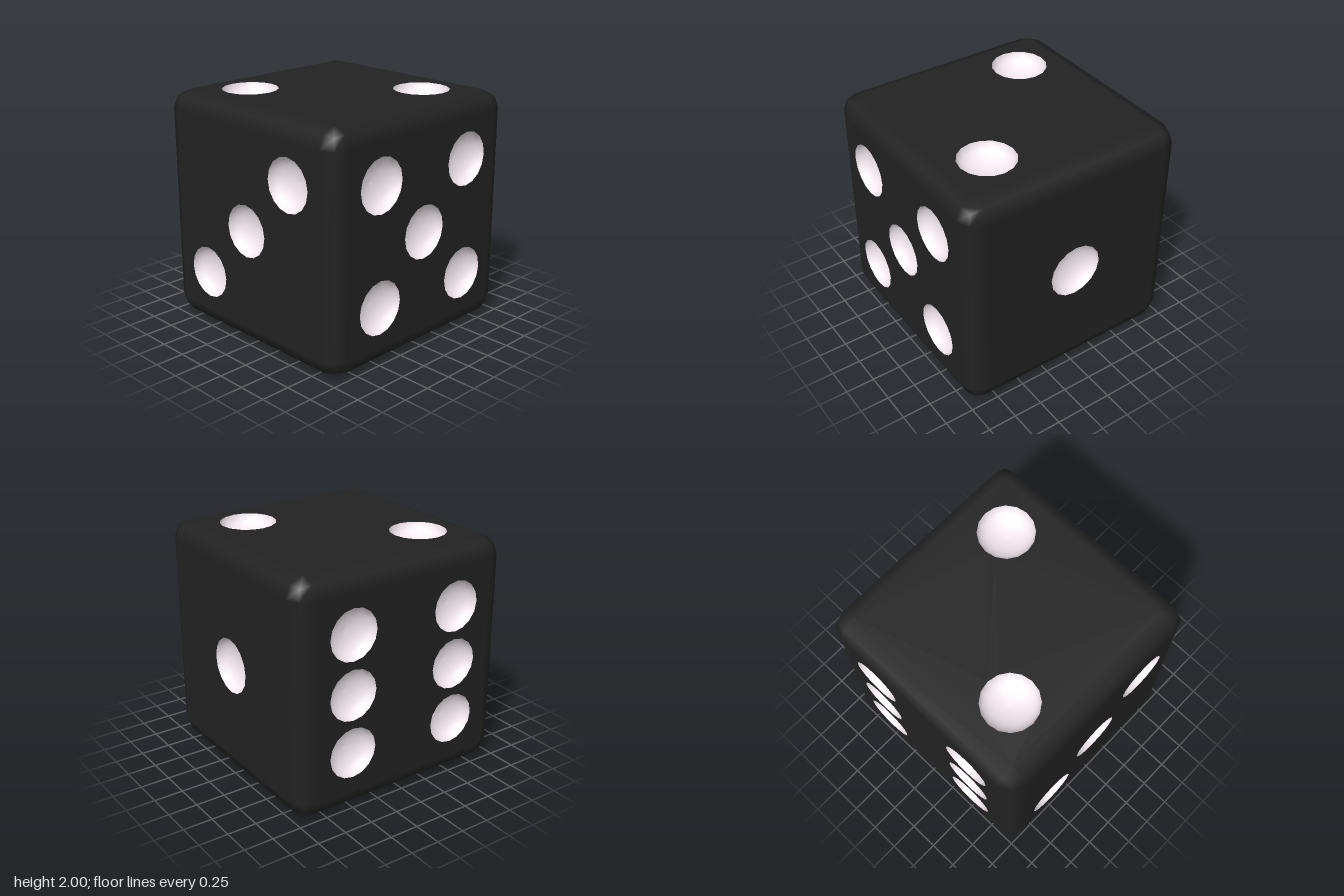
import * as THREE from 'three';
import { RoundedBoxGeometry } from 'three/addons/geometries/RoundedBoxGeometry.js';

const BEVEL = 0.16;
const SIDES = 16;

// Rounded edges and corners only: the flat middle of each side is left out
function roundedFrame() {
  const box = new RoundedBoxGeometry(2, 2, 2, 1, BEVEL);
  const src = box.index ? box.toNonIndexed() : box;
  const p = src.attributes.position, n = src.attributes.normal;
  const pos = [], nor = [];
  const a = new THREE.Vector3(), b = new THREE.Vector3(), c = new THREE.Vector3();
  for (let i = 0; i < p.count; i += 3) {
    [a, b, c].forEach((v, k) => v.fromBufferAttribute(n, i + k));
    if (a.dot(b) > 0.999 && a.dot(c) > 0.999) continue;
    for (let k = i; k < i + 3; k++) {
      pos.push(p.getX(k), p.getY(k), p.getZ(k));
      nor.push(n.getX(k), n.getY(k), n.getZ(k));
    }
  }
  const g = new THREE.BufferGeometry();
  g.setAttribute('position', new THREE.Float32BufferAttribute(pos, 3));
  g.setAttribute('normal', new THREE.Float32BufferAttribute(nor, 3));
  return g;
}

// Flat square with a round hole for every pip
function facePlate(pips, radius) {
  const h = 1 - BEVEL;
  const shape = new THREE.Shape([[-h, -h], [h, -h], [h, h], [-h, h]].map(([x, y]) => new THREE.Vector2(x, y)));
  for (const [x, y] of pips) {
    const ring = [];
    for (let i = 0; i < SIDES; i++) {
      const t = -i / SIDES * Math.PI * 2;
      ring.push(new THREE.Vector2(x + radius * Math.cos(t), y + radius * Math.sin(t)));
    }
    shape.holes.push(new THREE.Path(ring));
  }
  return new THREE.ShapeGeometry(shape);
}

// Shallow hollow bowl opening towards +z, rim at z = 0
function pipBowl(radius, depth) {
  const profile = [];
  for (let i = 0; i <= 6; i++) {
    const t = i / 6 * Math.PI / 2;
    profile.push(new THREE.Vector2(i === 6 ? 0 : radius * Math.cos(t), -depth * Math.sin(t)));
  }
  return new THREE.LatheGeometry(profile, SIDES).rotateX(Math.PI / 2);
}

export function createModel() {
  const model = new THREE.Group();
  model.name = 'die';
  const bodyMat = new THREE.MeshStandardMaterial({ color: 0x222222 });
  const pipMat = new THREE.MeshStandardMaterial({ color: 0xf5eaf0 });

  const frame = new THREE.Mesh(roundedFrame(), bodyMat);
  frame.name = 'roundedEdges';
  frame.position.y = 1;
  model.add(frame);

  const q = 0.5, H = Math.PI / 2;
  const corners = [[-q, -q], [q, -q], [q, q], [-q, q]];
  const faces = [
    { name: 'frontFace', rot: [0, 0], r: 0.228, pips: [...corners, [0, 0]] },
    { name: 'backFace', rot: [0, Math.PI], r: 0.217, pips: [...corners, [-q, 0], [q, 0]] },
    { name: 'leftFace', rot: [0, H], r: 0.236, pips: [[0, 0]] },
    { name: 'rightFace', rot: [0, -H], r: 0.222, pips: [[-q, -q], [0, 0], [q, q]] },
    { name: 'topFace', rot: [-H, 0], r: 0.236, pips: [[-q, q], [q, -q]] },
    { name: 'bottomFace', rot: [H, 0], r: 0.225, pips: corners },
  ];

  // Each side: a pierced plate with a bowl behind every hole
  for (const { name, rot, r, pips } of faces) {
    const face = new THREE.Group();
    face.name = name;
    face.position.y = 1;
    face.rotation.set(rot[0], rot[1], 0);
    const plate = new THREE.Mesh(facePlate(pips, r), bodyMat);
    plate.name = 'plate';
    plate.position.z = 1;
    face.add(plate);
    const bowl = pipBowl(r, 0.13);
    for (const [x, y] of pips) {
      const pip = new THREE.Mesh(bowl, pipMat);
      pip.name = 'pip';
      pip.position.set(x, y, 1);
      face.add(pip);
    }
    model.add(face);
  }
  return model;
}
